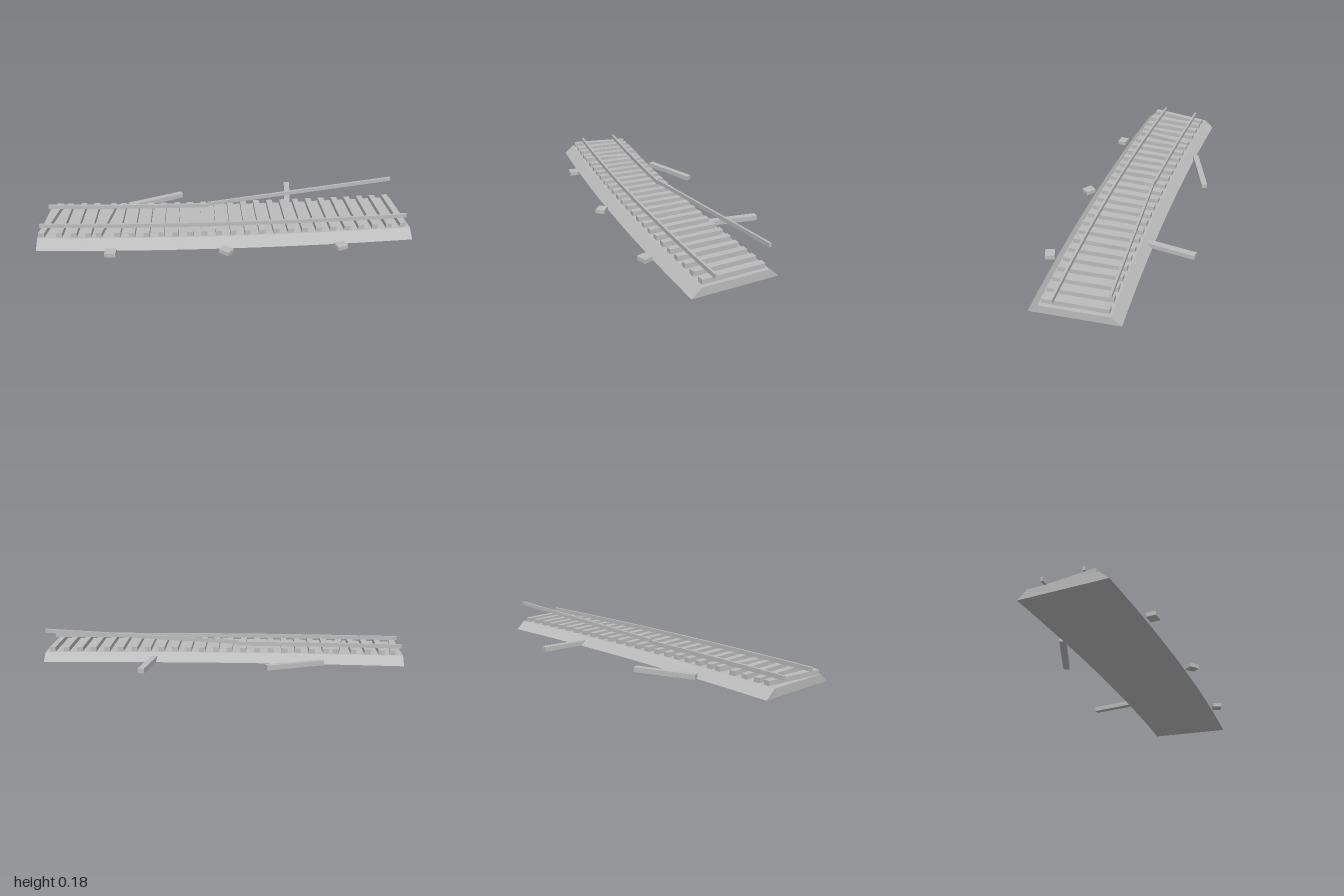
import * as THREE from 'three';

export function createModel() {
  const model = new THREE.Group();
  const grey = new THREE.MeshStandardMaterial({ color: 0xbcbcbc, flatShading: true });
  grey.name = 'plain grey';

  // Track centre line: an arc starting at x = -1, curving gently toward the back
  const R = 15.15, TURN = 0.1304, START_Z = 0.118;
  const onTrack = (angle, offset, y) => new THREE.Vector3(
    -1 + (R + offset) * Math.sin(angle), y, START_Z - R + (R + offset) * Math.cos(angle));

  const add = (name, geometry) => {
    const mesh = new THREE.Mesh(geometry, grey);
    mesh.name = name;
    model.add(mesh);
    return mesh;
  };

  // Sweeps a four-sided [offset, y] section along the arc and caps both ends
  function sweep(section, endAngle, steps) {
    const pos = [];
    const at = (i, j) => onTrack(endAngle * i / steps, ...section[j % 4]);
    const quad = (a, b, c, d) => [a, b, c, a, c, d].forEach(p => pos.push(p.x, p.y, p.z));
    for (let i = 0; i < steps; i++)
      for (let j = 0; j < 4; j++)
        quad(at(i, j), at(i + 1, j), at(i + 1, j + 1), at(i, j + 1));
    quad(at(0, 0), at(0, 1), at(0, 2), at(0, 3));
    quad(at(steps, 3), at(steps, 2), at(steps, 1), at(steps, 0));
    const geometry = new THREE.BufferGeometry();
    geometry.setAttribute('position', new THREE.Float32BufferAttribute(pos, 3));
    geometry.computeVertexNormals();
    return geometry;
  }

  // Ballast bed with sloping shoulders
  add('ballastBed', sweep([[-0.227, 0], [0.227, 0], [0.175, 0.045], [-0.175, 0.045]], TURN, 24));

  // Rails: the front one is whole, the back one is broken near the middle
  const railSection = o => [[o - 0.006, 0.07], [o + 0.006, 0.07], [o + 0.006, 0.092], [o - 0.006, 0.092]];
  add('frontRail', sweep(railSection(0.105), TURN, 24));
  add('backRail', sweep(railSection(-0.105), TURN * 0.46, 11));

  // Broken rail piece, bent outward and upward
  const from = new THREE.Vector3(-0.11, 0.089, -0.011);
  const to = new THREE.Vector3(0.94, 0.165, -0.184);
  const bent = add('bentRail', new THREE.BoxGeometry(0.012, 0.021, from.distanceTo(to)));
  bent.position.copy(from).lerp(to, 0.5);
  bent.lookAt(to);

  // Sleepers across the bed, two of them knocked askew
  const sleeperShape = new THREE.BoxGeometry(0.033, 0.026, 0.33);
  const COUNT = 26;
  for (let i = 0; i < COUNT; i++) {
    const angle = TURN * (i + 0.5) / COUNT;
    const sleeper = add('sleeper', sleeperShape);
    sleeper.position.copy(onTrack(angle, 0, 0.057));
    sleeper.rotation.y = i === 0 || i === 4 ? -0.11 : angle;
  }

  // Loose sleepers lying behind the track
  for (const [x, z, turn] of [[-0.42, -0.193, -1.122], [0.353, -0.24, -0.06]]) {
    const loose = add('looseSleeper', sleeperShape);
    loose.position.set(x, 0.014, z);
    loose.rotation.y = turn;
  }

  // Small blocks in front of the track
  for (const [x, z, turn] of [[-0.602, 0.378, 0], [0, 0.352, -0.6], [0.603, 0.298, 0.42]]) {
    const block = add('block', new THREE.BoxGeometry(0.058, 0.022, 0.05));
    block.position.set(x, 0.011, z);
    block.rotation.y = turn;
  }

  return model;
}
